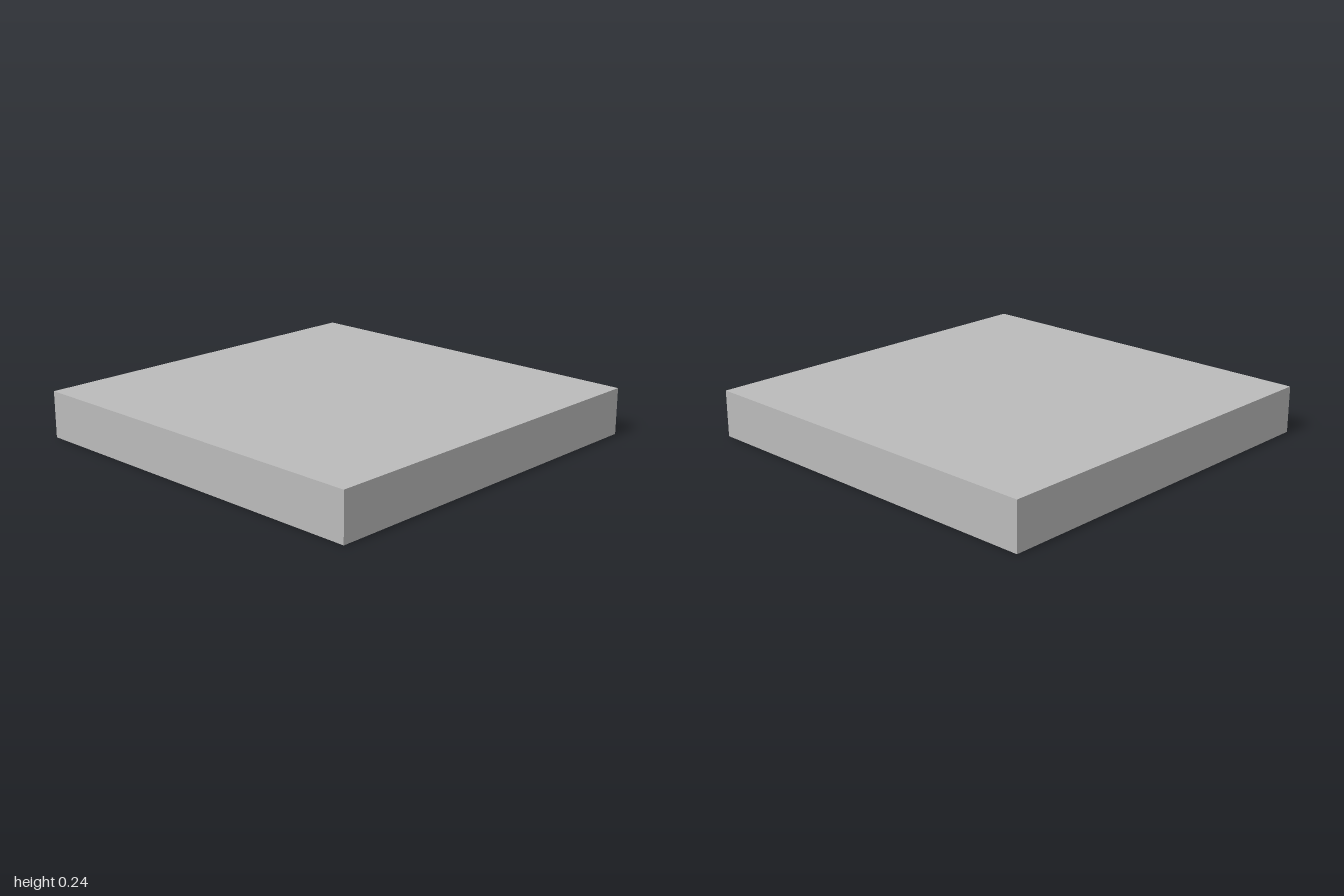
import * as THREE from 'three';

const H = 0.243;         // total height
const LIP = 0.055;       // lip thickness
const DEPTH = 0.135;     // recess depth
const R = 0.8;           // recess half size
const A = 0.725;         // opening half size along z, at the lip
const N0 = 0.16, N1 = 0.49; // notch limits along x

// Inward-facing wall around a counter-clockwise [x, z] outline
function wall(points, y0, y1) {
  const pos = [];
  points.forEach(([ax, az], i) => {
    const [bx, bz] = points[(i + 1) % points.length];
    pos.push(ax, y0, az, bx, y0, bz, bx, y1, bz);
    pos.push(ax, y0, az, bx, y1, bz, ax, y1, az);
  });
  const g = new THREE.BufferGeometry();
  g.setAttribute('position', new THREE.Float32BufferAttribute(pos, 3));
  g.computeVertexNormals();
  return g;
}

export function createModel() {
  const model = new THREE.Group();
  const grey = new THREE.MeshStandardMaterial({ color: 0xbbbbbb });
  grey.name = 'grey';
  const add = (name, geometry) => {
    const mesh = new THREE.Mesh(geometry, grey);
    mesh.name = name;
    model.add(mesh);
    return mesh;
  };

  // Outer slab: a box with its bottom face left out
  const slab = new THREE.BoxGeometry(2, H, 2).translate(0, H / 2, 0);
  const index = Array.from(slab.index.array);
  index.splice(18, 6);
  slab.setIndex(index);
  slab.clearGroups();
  add('slab', slab);

  // Notched outline of the opening, the second half mirrored from the first
  const half = [
    [-R, -A], [-N1, -A], [-N1, -R], [-N0, -R], [-N0, -A],
    [N0, -A], [N0, -R], [N1, -R], [N1, -A], [R, -A],
  ];
  const opening = [...half, ...half.map(([x, z]) => [-x, -z])];
  const square = (s) => [[-s, -s], [s, -s], [s, s], [-s, s]];
  const toVectors = (pts) => pts.map(([x, z]) => new THREE.Vector2(x, z));

  // Underside with the notched opening
  const shape = new THREE.Shape(toVectors(square(1)));
  shape.holes.push(new THREE.Path(toVectors(opening)));
  add('underside', new THREE.ShapeGeometry(shape).rotateX(Math.PI / 2));

  // Lip edge, wider recess above it, and the recess ceiling
  add('lipEdge', wall(opening, 0, LIP));
  add('recessWall', wall(square(R), LIP, DEPTH));
  add('recessCeiling', new THREE.PlaneGeometry(2 * R, 2 * R).rotateX(Math.PI / 2).translate(0, DEPTH, 0));

  // Upper faces of the lip tabs between the notches
  for (const side of [-1, 1]) {
    for (const [x0, x1] of [[-R, -N1], [-N0, N0], [N1, R]]) {
      const tab = new THREE.PlaneGeometry(x1 - x0, R - A).rotateX(-Math.PI / 2);
      add('lipTab', tab).position.set((x0 + x1) / 2, LIP, side * (A + R) / 2);
    }
  }
  return model;
}
